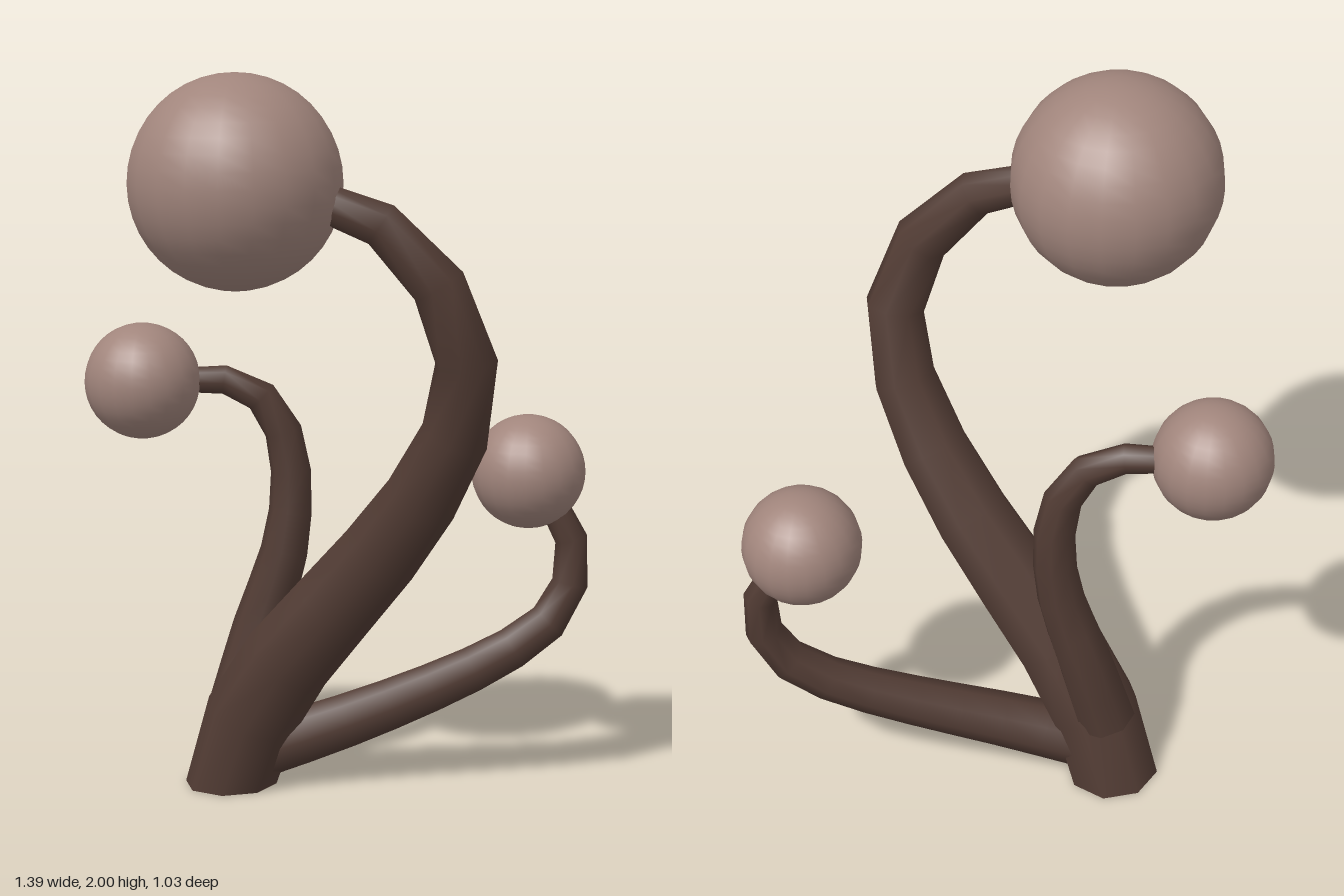
import * as THREE from 'three';

const stemMaterial = new THREE.MeshStandardMaterial({ color: 0x523c34 });
stemMaterial.name = 'dark brown';
const bulbMaterial = new THREE.MeshStandardMaterial({ color: 0xa1857c });
bulbMaterial.name = 'dusty pink';

const SIDES = 8;
const SEGMENTS = 10;

// Tapered tube along a smooth path, radii interpolated from base to tip
function stem(name, points, radii, flatBase = false) {
  const group = new THREE.Group();
  group.name = name;
  const curve = new THREE.CatmullRomCurve3(points.map((p) => new THREE.Vector3(...p)));
  const geometry = new THREE.TubeGeometry(curve, SEGMENTS, 1, SIDES, false);
  const pos = geometry.attributes.position;
  const v = new THREE.Vector3();
  const ends = [[], []];
  for (let i = 0; i <= SEGMENTS; i++) {
    const t = i / SEGMENTS;
    const centre = curve.getPointAt(t);
    const f = t * (radii.length - 1);
    const k = Math.min(Math.floor(f), radii.length - 2);
    const r = THREE.MathUtils.lerp(radii[k], radii[k + 1], f - k);
    for (let j = 0; j <= SIDES; j++) {
      const n = i * (SIDES + 1) + j;
      v.fromBufferAttribute(pos, n).sub(centre).multiplyScalar(r).add(centre);
      if (flatBase && i === 0) v.y = 0;
      pos.setXYZ(n, v.x, v.y, v.z);
      if (i === 0) ends[0].push(v.clone());
      if (i === SEGMENTS) ends[1].push(v.clone());
    }
  }
  const tube = new THREE.Mesh(geometry, stemMaterial);
  tube.name = name + 'Tube';
  group.add(tube);

  // Close both ends with fans facing away from the tube
  ends.forEach((ring, e) => {
    const centre = curve.getPointAt(e);
    const outward = curve.getTangentAt(e).multiplyScalar(e ? 1 : -1);
    const a = ring[0].clone().sub(centre);
    const flip = a.cross(ring[1].clone().sub(centre)).dot(outward) < 0;
    const fan = [];
    for (let j = 0; j < SIDES; j++) {
      fan.push(centre, flip ? ring[j + 1] : ring[j], flip ? ring[j] : ring[j + 1]);
    }
    const capGeometry = new THREE.BufferGeometry().setFromPoints(fan);
    capGeometry.computeVertexNormals();
    const cap = new THREE.Mesh(capGeometry, stemMaterial);
    cap.name = name + (e ? 'Tip' : 'Base');
    group.add(cap);
  });
  return group;
}

function bulb(name, radius, centre) {
  const mesh = new THREE.Mesh(new THREE.SphereGeometry(radius, 20, 20), bulbMaterial);
  mesh.name = name;
  mesh.position.set(...centre);
  return mesh;
}

export function createModel() {
  const model = new THREE.Group();
  model.name = 'branchingBulbs';
  model.add(
    // Tall trunk curling back over to the big bulb
    stem('mainStem', [
      [-0.3, 0, -0.15], [-0.23, 0.22, -0.12], [-0.1, 0.42, -0.06], [0.05, 0.6, 0],
      [0.21, 0.81, 0.08], [0.33, 1.02, 0.16], [0.38, 1.21, 0.21], [0.34, 1.4, 0.25],
      [0.22, 1.57, 0.26], [0.06, 1.67, 0.26], [-0.04, 1.69, 0.25],
    ], [0.135, 0.125, 0.11, 0.09, 0.075, 0.05], true),
    bulb('mainBulb', 0.28, [-0.22, 1.72, 0.235]),

    // Short stem hooking to the right side
    stem('rightStem', [
      [-0.28, 0.22, -0.18], [-0.22, 0.45, -0.2], [-0.155, 0.66, -0.205],
      [-0.135, 0.87, -0.21], [-0.17, 1.03, -0.205], [-0.25, 1.12, -0.195],
      [-0.36, 1.145, -0.185], [-0.43, 1.14, -0.175],
    ], [0.085, 0.075, 0.06, 0.05, 0.035]),
    bulb('rightBulb', 0.16, [-0.54, 1.14, -0.15]),

    // Low stem sweeping out to the left side and up
    stem('leftStem', [
      [-0.22, 0.1, -0.15], [0, 0.17, -0.19], [0.27, 0.27, -0.26], [0.48, 0.37, -0.32],
      [0.6, 0.47, -0.35], [0.645, 0.6, -0.365], [0.625, 0.72, -0.365], [0.58, 0.79, -0.36],
    ], [0.085, 0.075, 0.065, 0.055, 0.04]),
    bulb('leftBulb', 0.16, [0.515, 0.87, -0.36]),
  );
  return model;
}
